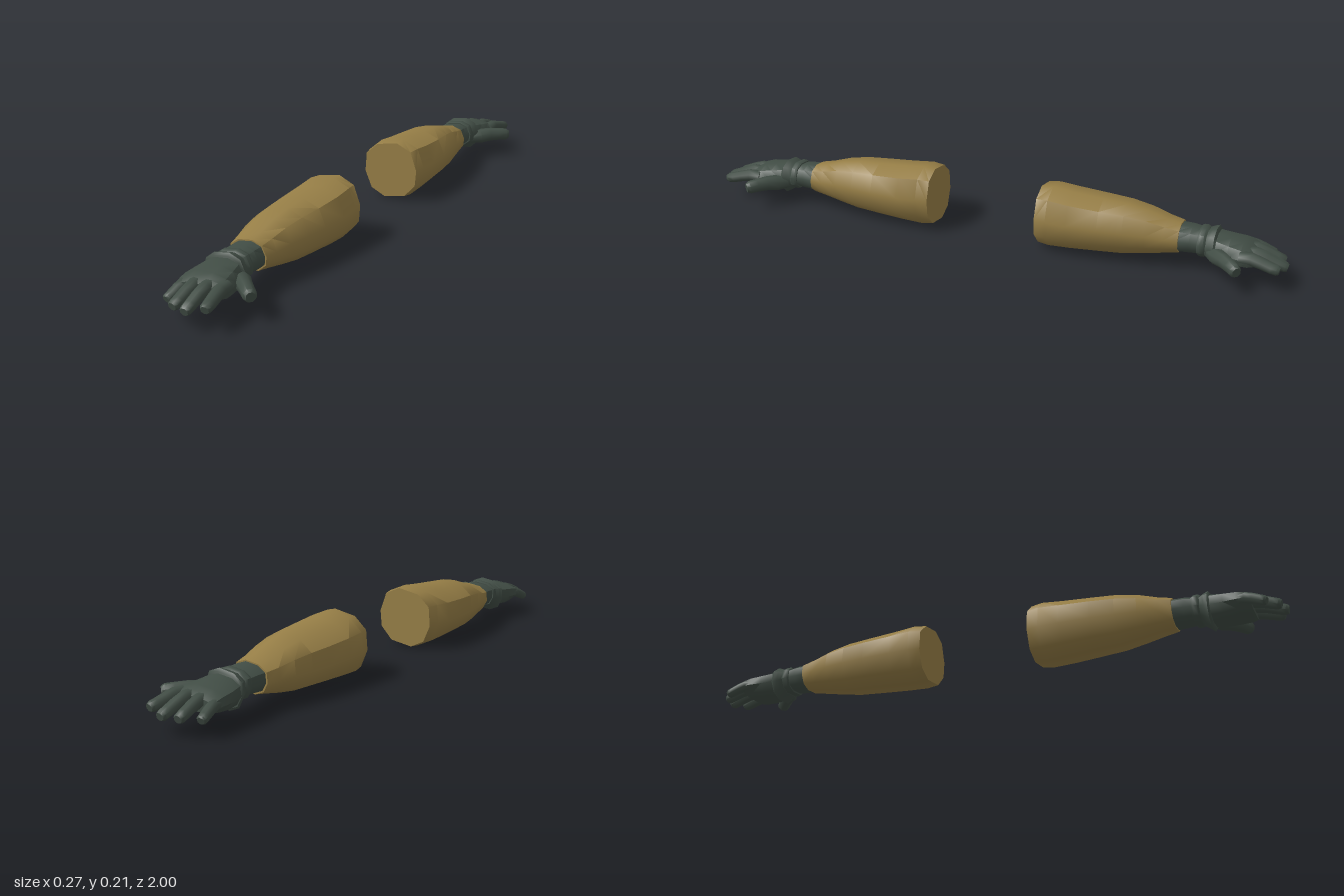
import * as THREE from 'three';
import { toCreasedNormals } from 'three/addons/utils/BufferGeometryUtils.js';

const sleeveMat = new THREE.MeshStandardMaterial({ color: 0x967e46 });
sleeveMat.name = 'tan cloth';
const gloveMat = new THREE.MeshStandardMaterial({ color: 0x414d45 });
gloveMat.name = 'dark green glove';

// Skin over rings of equal length, with capped ends; mirror flips z and the winding
function loft(rings, mirror, crease = 0.8) {
  const n = rings[0].length, pos = [], index = [];
  rings.forEach(r => r.forEach(p => pos.push(p.x, p.y, mirror ? -p.z : p.z)));
  const tri = (a, b, c) => (mirror ? index.push(a, c, b) : index.push(a, b, c));
  for (let i = 0; i < rings.length - 1; i++) {
    for (let j = 0; j < n; j++) {
      const k = (j + 1) % n, a = i * n + j, b = i * n + k;
      tri(a, b, b + n);
      tri(a, b + n, a + n);
    }
  }
  [0, rings.length - 1].forEach((i, end) => {
    const c = rings[i].reduce((s, p) => s.add(p), new THREE.Vector3()).divideScalar(n);
    const ci = pos.length / 3;
    pos.push(c.x, c.y, mirror ? -c.z : c.z);
    for (let j = 0; j < n; j++) {
      const a = i * n + j, b = i * n + ((j + 1) % n);
      if (end) tri(ci, a, b); else tri(ci, b, a);
    }
  });
  const g = new THREE.BufferGeometry();
  g.setAttribute('position', new THREE.Float32BufferAttribute(pos, 3));
  g.setIndex(index);
  return toCreasedNormals(g, crease);
}

// Ten-sided forearm outline, counter-clockwise, in the range -1 to 1
const outline = [[1, 0.12], [0.95, -0.43], [0.54, -0.87], [-0.25, -1], [-0.75, -0.76],
  [-1, -0.18], [-0.95, 0.47], [-0.52, 0.86], [0.24, 1], [0.77, 0.76]].reverse();

// Cross-section from its extents: z, left, right, bottom, top
const section = ([z, x0, x1, y0, y1]) => outline.map(([u, v]) => new THREE.Vector3(
  (x0 + x1) / 2 + u * (x1 - x0) / 2, (y0 + y1) / 2 + v * (y1 - y0) / 2, z));

// Eight-sided rounded tube along a path of [x, y, z, half width, half height]
function digit(path, mirror) {
  const pts = path.map(p => new THREE.Vector3(p[0], p[1], p[2]));
  const up = new THREE.Vector3(0, 1, 0);
  const rings = path.map((p, i) => {
    const t = pts[Math.min(i + 1, pts.length - 1)].clone().sub(pts[Math.max(i - 1, 0)]).normalize();
    const u = up.clone().cross(t).normalize(), v = t.clone().cross(u);
    return Array.from({ length: 8 }, (_, j) => {
      const a = (j + 0.5) * Math.PI / 4;
      return pts[i].clone().addScaledVector(u, p[3] * Math.cos(a)).addScaledVector(v, p[4] * Math.sin(a));
    });
  });
  return loft(rings, mirror, 0.85);
}

const sleeve = [
  [0.19, -0.128, 0.074, 0.006, 0.208], [0.23, -0.138, 0.083, 0.002, 0.212],
  [0.3, -0.139, 0.084, 0.006, 0.204], [0.4, -0.136, 0.077, 0.012, 0.196],
  [0.48, -0.129, 0.066, 0.016, 0.19], [0.55, -0.119, 0.052, 0.027, 0.176],
  [0.61, -0.106, 0.04, 0.039, 0.157], [0.655, -0.097, 0.033, 0.047, 0.147],
];
const cuff = [
  [0.64, -0.092, 0.029, 0.051, 0.143], [0.69, -0.09, 0.028, 0.054, 0.142],
  [0.715, -0.087, 0.026, 0.056, 0.138], [0.745, -0.086, 0.026, 0.056, 0.136],
];
const strap = [
  [0.715, -0.09, 0.03, 0.051, 0.142], [0.722, -0.093, 0.033, 0.048, 0.145],
  [0.735, -0.093, 0.033, 0.048, 0.145], [0.742, -0.088, 0.028, 0.052, 0.14],
];
const rim = [
  [0.74, -0.088, 0.028, 0.05, 0.138], [0.755, -0.096, 0.034, 0.038, 0.145],
  [0.768, -0.102, 0.04, 0.027, 0.149], [0.774, -0.099, 0.037, 0.034, 0.14],
];
const palm = [
  [0.735, -0.083, 0.024, 0.055, 0.135], [0.775, -0.099, 0.038, 0.042, 0.134],
  [0.815, -0.106, 0.048, 0.04, 0.128], [0.855, -0.109, 0.056, 0.044, 0.122],
  [0.88, -0.109, 0.059, 0.05, 0.113], [0.898, -0.102, 0.054, 0.059, 0.102],
];

// Fingers: base x, tip x, tip y, tip z, thickness, knuckle y
const fingers = {
  littleFinger: [-0.087, -0.102, 0.056, 0.948, 0.018, 0.08],
  ringFinger: [-0.046, -0.052, 0.061, 0.984, 0.02, 0.089],
  middleFinger: [-0.004, 0, 0.063, 0.998, 0.02, 0.092],
  indexFinger: [0.036, 0.056, 0.074, 0.98, 0.02, 0.091],
};
function fingerPath([x0, x1, y1, z1, r, y0]) {
  const z0 = 0.855;
  return [[0, y0, 1.12], [0.3, y0 + 0.002, 1.12], [0.55, y0 * 0.75 + y1 * 0.25, 1.03],
    [0.8, y0 * 0.3 + y1 * 0.7, 0.97], [0.94, y1 + 0.002, 0.92], [1, y1, 0.68]]
    .map(([t, y, k]) => [x0 + (x1 - x0) * t, y, z0 + (z1 - z0) * t, r * k, r * k * 0.92]);
}
const thumb = [
  [0.004, 0.078, 0.755, 0.022, 0.022], [0.038, 0.08, 0.785, 0.029, 0.027],
  [0.067, 0.084, 0.812, 0.024, 0.025], [0.093, 0.083, 0.835, 0.022, 0.023],
  [0.115, 0.081, 0.854, 0.021, 0.022], [0.123, 0.08, 0.861, 0.015, 0.016],
];

function arm(name, mirror) {
  const group = new THREE.Group();
  group.name = name;
  const add = (part, geometry, material) => {
    const mesh = new THREE.Mesh(geometry, material);
    mesh.name = part;
    group.add(mesh);
  };
  add('sleeve', loft(sleeve.map(section), mirror), sleeveMat);
  const gloveParts = { gloveCuff: cuff, wristStrap: strap, gloveRim: rim, palm };
  for (const [part, rows] of Object.entries(gloveParts)) {
    add(part, loft(rows.map(section), mirror), gloveMat);
  }
  for (const [part, f] of Object.entries(fingers)) add(part, digit(fingerPath(f), mirror), gloveMat);
  add('thumb', digit(thumb, mirror), gloveMat);
  return group;
}

export function createModel() {
  const model = new THREE.Group();
  model.name = 'pair of gloved forearms';
  model.add(arm('frontArm', false), arm('backArm', true));
  return model;
}
